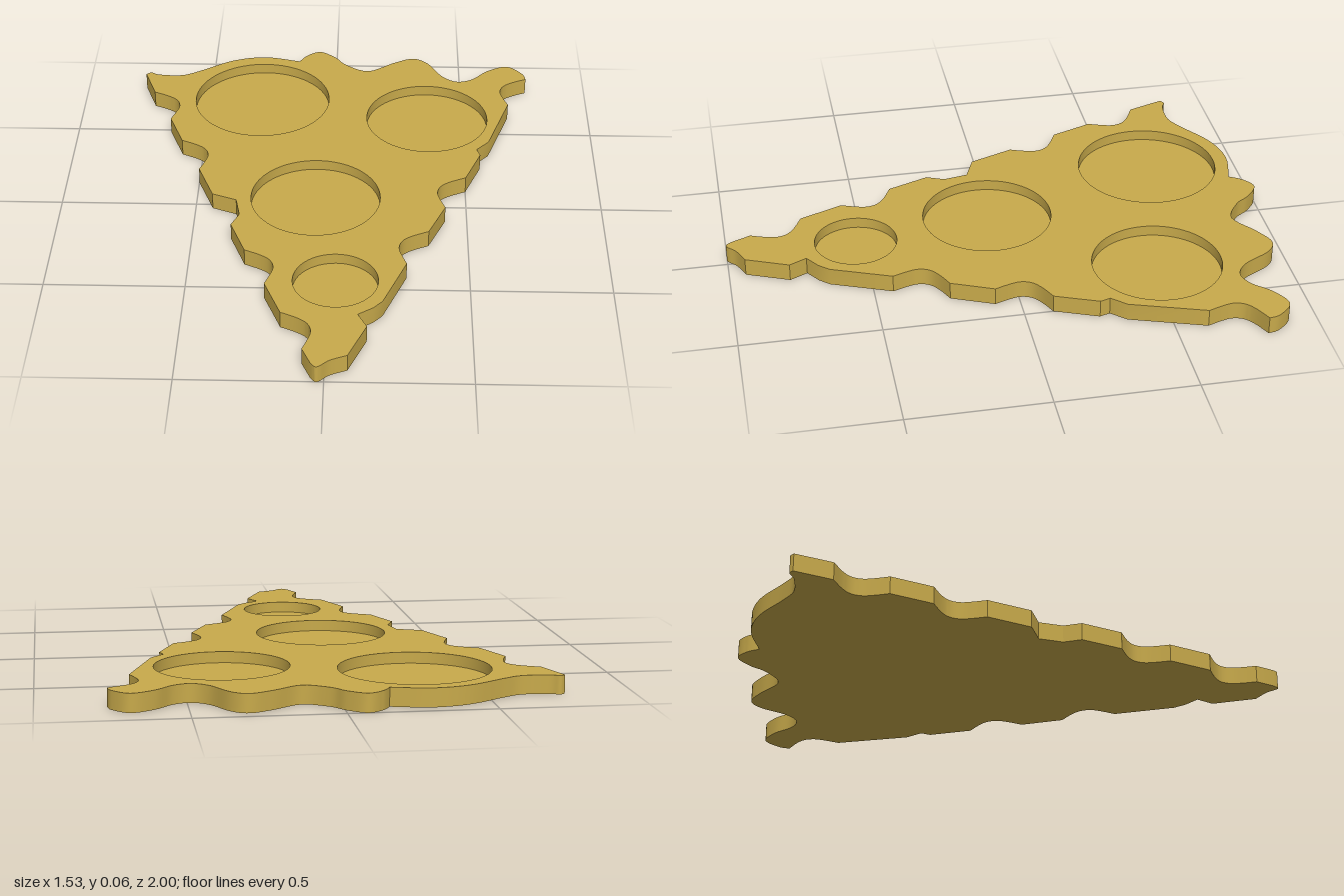
import * as THREE from 'three';
import { toCreasedNormals } from 'three/addons/utils/BufferGeometryUtils.js';

const HEIGHT = 0.065, FLOOR = 0.025;

// Plan curves in hundredths (x, z)
const shoulderEdge = [-76.5, -81, -74.5, -82.2, -71, -80.7, -62, -80.5, -55, -84, -42, -92.3, -29, -95.2, -15, -92.3];
const wavyEdge = [-15, -92.3, -12, -97, -6.6, -100, -0.3, -95.5, 4, -90, 13, -85.4, 23, -91.8, 31, -95.5,
  37, -92, 42.6, -82.3, 48.5, -78.2, 54.8, -80.2, 61, -86.5, 69, -90.2, 74.9, -85, 76.2, -80.7];
const frontTip = [7.7, 94, 1.9, 96.6, -1.3, 99.5, -2.9, 100, -4.5, 98.1];

// Notch profiles: (inward, forward) from the back corner of each notch
const bite = [0, 0, 6, 3, 9.5, 6, 10.7, 10, 9.7, 14.5, 8, 19.2];
const step = [0, 0, 9, 3.6, 10.7, 12.6, 8, 19];
const nick = [0, 0, 4.7, 5.3, 3.5, 9];
const cut = [0, 0, 3.2, 3.7, 8.5, 7.4, 5.3, 13.8];

// Round pockets: x, z, radius
const pockets = [
  [-0.286, -0.634, 0.263],
  [0.361, -0.51, 0.234],
  [-0.056, 0.034, 0.238],
  [0.028, 0.534, 0.15],
];

// Points in plan (x, -z) from flat hundredths
function toPoints(list) {
  const pts = [];
  for (let i = 0; i < list.length; i += 2) pts.push(new THREE.Vector2(list[i] / 100, -list[i + 1] / 100));
  return pts;
}

const smooth = (pts) => new THREE.SplineCurve(pts).getPoints((pts.length - 1) * 5);

// One notch at (x, z); its profile bites towards the centre line
function notch(x, z, profile, sharp = false) {
  const pts = toPoints(profile.map((v, i) => (i % 2 ? z + v : x - Math.sign(x) * v)));
  return sharp ? pts : smooth(pts);
}

// Counter-clockwise outline; straight edges join the notches
function outlinePoints() {
  const pts = [
    ...smooth(toPoints(shoulderEdge)),
    ...smooth(toPoints(wavyEdge)),
    // left flank, going forward
    ...notch(76.2, -80.7, bite),
    ...notch(59.5, -34.7, nick, true),
    ...notch(50, -10.3, bite),
    ...notch(35.7, 24, bite),
    ...notch(19.3, 64.8, cut, true),
    ...smooth(toPoints(frontTip)),
    // right flank, going back
    ...notch(-15.6, 71.7, bite).reverse(),
    ...notch(-29.9, 36.6, bite).reverse(),
    ...notch(-43.7, 2.4, step, true).reverse(),
    ...notch(-57.9, -33, bite).reverse(),
    ...notch(-71.7, -67.5, bite).reverse(),
  ];
  return pts.filter((p, i) => i === 0 || p.distanceTo(pts[i - 1]) > 1e-4).reverse();
}

function circlePoints(x, z, r) {
  return new THREE.EllipseCurve(x, -z, r, r).getPoints(72).slice(0, -1);
}

// Vertical wall along a closed loop, facing right of the direction of travel
function wall(pts, y0, y1) {
  const pos = [];
  pts.forEach((a, i) => {
    const b = pts[(i + 1) % pts.length];
    pos.push(a.x, y0, -a.y, b.x, y0, -b.y, b.x, y1, -b.y);
    pos.push(a.x, y0, -a.y, b.x, y1, -b.y, a.x, y1, -a.y);
  });
  const geo = new THREE.BufferGeometry();
  geo.setAttribute('position', new THREE.Float32BufferAttribute(pos, 3));
  return toCreasedNormals(geo, 0.55);
}

// Flat face, turned up or down, at height y
function face(shape, y, up = true) {
  const geo = new THREE.ShapeGeometry(shape).rotateX(-Math.PI / 2).translate(0, y, 0);
  if (!up) {
    geo.index.array.reverse();
    geo.computeVertexNormals();
  }
  return geo;
}

export function createModel() {
  const group = new THREE.Group();
  group.name = 'pocketedTray';
  const gold = new THREE.MeshStandardMaterial({ color: 0xc8aa4b });
  gold.name = 'gold';
  const add = (name, geo) => {
    const mesh = new THREE.Mesh(geo, gold);
    mesh.name = name;
    group.add(mesh);
  };

  const outline = outlinePoints();
  const rims = pockets.map((p) => circlePoints(...p));

  // Plate: pierced top, plain underside, notched rim
  const top = new THREE.Shape(outline);
  top.holes = rims.map((rim) => new THREE.Path(rim));
  add('plateTop', face(top, HEIGHT));
  add('plateUnderside', face(new THREE.Shape(outline), 0, false));
  add('plateEdge', wall(outline, 0, HEIGHT));

  // Pockets: inward-facing wall and sunken floor
  rims.forEach((rim, i) => {
    add(`pocketWall${i + 1}`, wall([...rim].reverse(), FLOOR, HEIGHT));
    add(`pocketFloor${i + 1}`, face(new THREE.Shape(rim), FLOOR));
  });
  return group;
}
